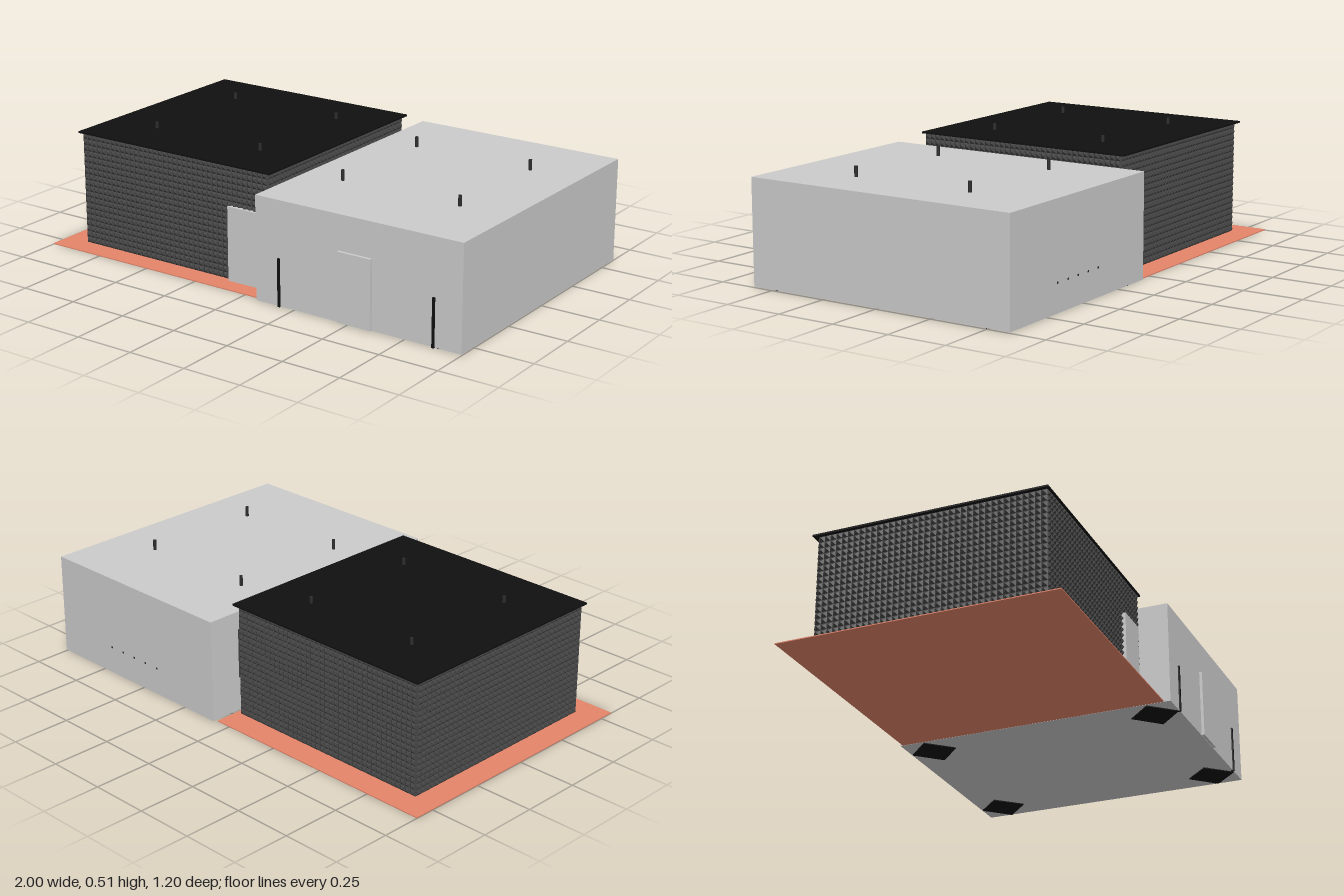
import * as THREE from 'three';
import { mergeGeometries } from 'three/addons/utils/BufferGeometryUtils.js';

const material = (color, flat = false) => new THREE.MeshStandardMaterial({ color, flatShading: flat });

const grey = material(0xcccccc);
const black = material(0x101010);
const dark = material(0x444444, true);
const pegGrey = material(0x2c2c2c);
const terracotta = material(0xe5856a);

// Box given by its extents along each axis
function box(name, [x0, x1], [y0, y1], [z0, z1], mat) {
  const mesh = new THREE.Mesh(new THREE.BoxGeometry(x1 - x0, y1 - y0, z1 - z0), mat);
  mesh.position.set((x0 + x1) / 2, (y0 + y1) / 2, (z0 + z1) / 2);
  mesh.name = name;
  return mesh;
}

// Sheet of small pyramids, centred on the origin and facing +z
function studPanel(width, height, depth) {
  const cols = Math.round(width / 0.025), rows = Math.round(height / 0.025);
  const w = width / cols, h = height / rows;
  const stud = new THREE.ConeGeometry(Math.SQRT1_2, depth, 4, 1, true)
    .rotateY(Math.PI / 4).rotateX(Math.PI / 2).scale(w, h, 1).translate(0, 0, depth / 2);
  const studs = [];
  for (let i = 0; i < cols; i++) {
    for (let j = 0; j < rows; j++) {
      studs.push(stud.clone().translate((i + 0.5) * w - width / 2, (j + 0.5) * h - height / 2, 0));
    }
  }
  return mergeGeometries(studs);
}

// Four short roof pegs
function roofPegs(xs, base) {
  const group = new THREE.Group();
  group.name = 'roofPegs';
  const geometry = new THREE.CylinderGeometry(0.007, 0.007, 0.05, 12);
  for (const x of xs) for (const z of [-0.275, 0.255]) {
    const peg = new THREE.Mesh(geometry, pegGrey);
    peg.name = 'roofPeg';
    peg.position.set(x, base + 0.018, z);
    group.add(peg);
  }
  return group;
}

function createStuddedBuilding() {
  const group = new THREE.Group();
  group.name = 'studdedBuilding';
  const depth = 0.01;
  const x0 = -0.895, x1 = 0.045, z0 = -0.478, z1 = 0.468, y0 = 0.004, y1 = 0.48;
  const cx = (x0 + x1) / 2, cz = (z0 + z1) / 2, cy = (y0 + y1) / 2;
  group.add(box('wallCore', [x0, x1], [y0, y1], [z0, z1], dark));

  // Studded cladding on all four sides
  const walls = [
    ['frontCladding', x1 - x0, cx, z1, 0],
    ['backCladding', x1 - x0, cx, z0, Math.PI],
    ['leftCladding', z1 - z0, x1, cz, Math.PI / 2],
    ['rightCladding', z1 - z0, x0, cz, -Math.PI / 2],
  ];
  for (const [name, width, x, z, turn] of walls) {
    const wall = new THREE.Mesh(studPanel(width, y1 - y0, depth), dark);
    wall.name = name;
    wall.position.set(x, cy, z);
    wall.rotation.y = turn;
    group.add(wall);
  }

  group.add(
    box('roof', [-0.913, 0.06], [0.478, 0.485], [-0.498, 0.478], black),
    box('sideDoor', [-0.14, 0.005], [0.004, 0.315], [0.46, 0.486], grey),
    box('linkPanel', [0.045, 0.072], [0.15, 0.36], [-0.46, 0.45], dark),
    roofPegs([-0.68, -0.15], 0.468),
  );
  return group;
}

function createPlainBuilding() {
  const group = new THREE.Group();
  group.name = 'plainBuilding';
  group.add(
    box('hall', [0.075, 1], [0.004, 0.434], [-0.6, 0.588], grey),
    box('frontDoor', [0.46, 0.61], [0.006, 0.29], [0.58, 0.6], grey),
    roofPegs([0.25, 0.78], 0.434),
  );
  // Narrow slits on the front
  for (const x of [0.185, 0.88]) {
    group.add(box('frontSlit', [x - 0.005, x + 0.005], [0.002, 0.2], [0.58, 0.594], black));
  }
  // Row of little vents on the back
  for (let i = 0; i < 5; i++) {
    const x = 0.41 + i * 0.07;
    group.add(box('backVent', [x - 0.004, x + 0.004], [0.116, 0.124], [-0.601, -0.59], pegGrey));
  }
  // Diamond-shaped foot pads
  const padGeometry = new THREE.CylinderGeometry(0.1, 0.1, 0.005, 4);
  for (const x of [0.18, 0.895]) for (const z of [-0.495, 0.485]) {
    const pad = new THREE.Mesh(padGeometry, black);
    pad.name = 'footPad';
    pad.position.set(x, 0.0025, z);
    group.add(pad);
  }
  return group;
}

export function createModel() {
  const model = new THREE.Group();
  model.name = 'twinBuildings';
  model.add(
    box('groundSlab', [-1, 0.065], [0, 0.004], [-0.585, 0.563], terracotta),
    createStuddedBuilding(),
    createPlainBuilding(),
  );
  return model;
}
